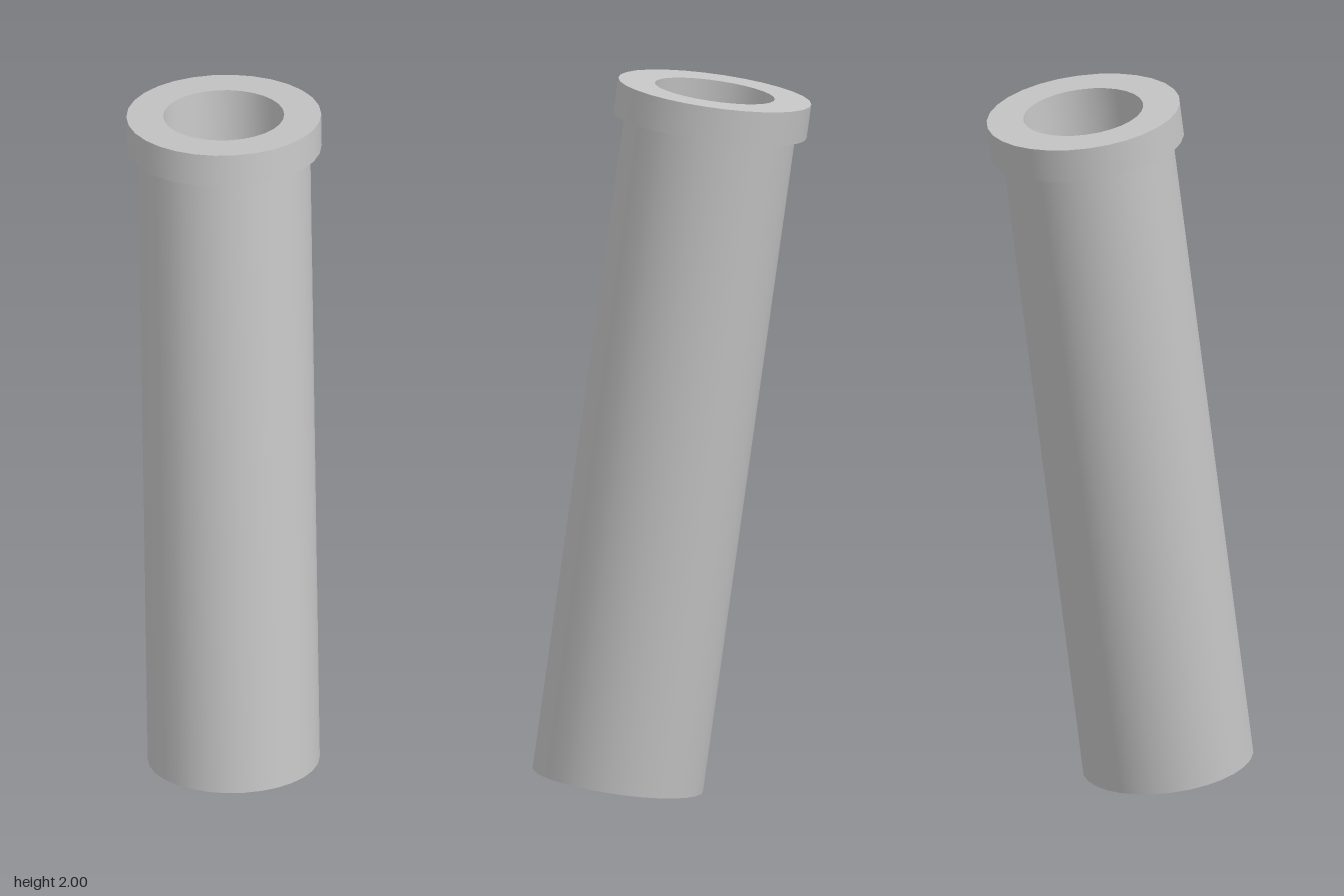
import * as THREE from 'three';

const SEGMENTS = 30;

export function createModel() {
  const model = new THREE.Group();
  const grey = new THREE.MeshStandardMaterial({ color: 0xc4c4c4 });
  grey.name = 'plain grey';

  // Axis of the leaning tube, from the middle of its base to the middle of its mouth
  const base = new THREE.Vector3(-0.119, 0.034, 0.103);
  const mouth = new THREE.Vector3(0.088, 1.962, -0.077);
  const axis = mouth.clone().sub(base);
  const length = axis.length();

  const bodyR = 0.2375, rimR = 0.269, boreR = 0.167;
  const rimY = length - 0.095, floorY = 0.02;

  const tube = new THREE.Group();
  tube.name = 'tube';
  tube.position.copy(base);
  tube.quaternion.setFromUnitVectors(new THREE.Vector3(0, 1, 0), axis.normalize());
  model.add(tube);

  // Each straight run of the profile is its own lathe, so edges stay sharp and sides smooth
  const profile = [
    ['baseDisc', 0, 0],
    ['bodyWall', bodyR, 0],
    ['rimUnderside', bodyR, rimY],
    ['rimWall', rimR, rimY],
    ['rimTop', rimR, length],
    ['boreWall', boreR, length],
    ['boreFloor', boreR, floorY],
    ['end', 0, floorY],
  ];
  for (let i = 0; i < profile.length - 1; i++) {
    const [name, r0, y0] = profile[i];
    const [, r1, y1] = profile[i + 1];
    const geometry = new THREE.LatheGeometry(
      [new THREE.Vector2(r0, y0), new THREE.Vector2(r1, y1)], SEGMENTS);
    const mesh = new THREE.Mesh(geometry, grey);
    mesh.name = name;
    tube.add(mesh);
  }
  return model;
}
